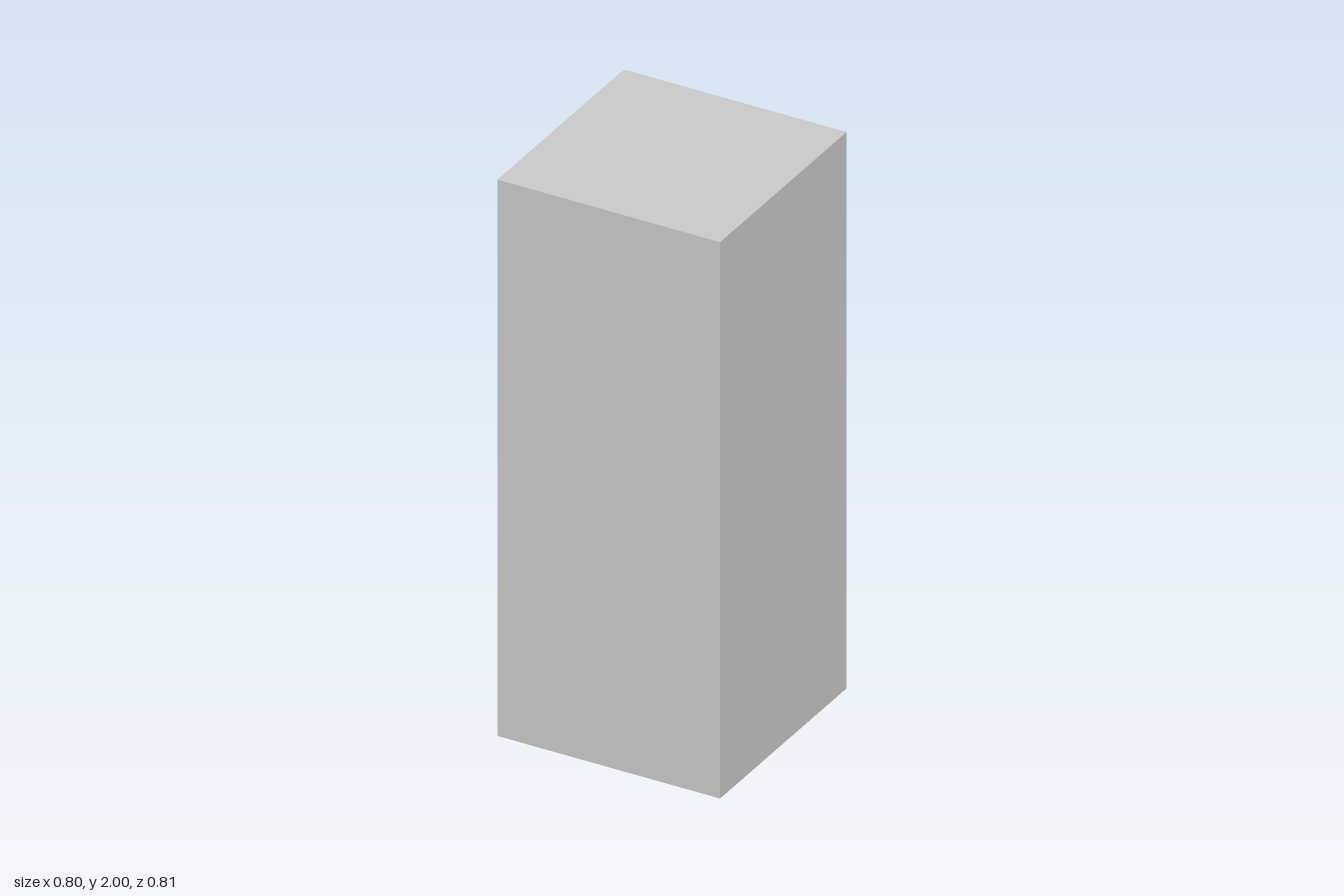
import * as THREE from 'three';

export function createModel() {
  const group = new THREE.Group();
  group.name = 'locker';
  const material = new THREE.MeshStandardMaterial({ color: 0xcccccc, flatShading: true });

  const front = -0.3925;          // plane of the door frame
  const rear = 0.4075;            // plain wall opposite the door
  const door = front + 0.05;      // recessed door panel

  const add = (name, geometry) => {
    const mesh = new THREE.Mesh(geometry, material);
    mesh.name = name;
    group.add(mesh);
  };
  // Box given by its limits on each axis
  const box = (name, x0, x1, y0, y1, z0, z1) => add(name,
    new THREE.BoxGeometry(x1 - x0, y1 - y0, z1 - z0)
      .translate((x0 + x1) / 2, (y0 + y1) / 2, (z0 + z1) / 2));
  const rect = (T, x, y0, y1) => new T([
    new THREE.Vector2(-x, y0), new THREE.Vector2(x, y0),
    new THREE.Vector2(x, y1), new THREE.Vector2(-x, y1),
  ]);

  // Cabinet shell: a rectangular tube whose open end frames the door
  const shell = rect(THREE.Shape, 0.4, 0, 2);
  shell.holes.push(rect(THREE.Path, 0.32, 0.08, 1.92));
  add('cabinet', new THREE.ExtrudeGeometry(shell, { depth: rear - front, bevelEnabled: false })
    .translate(0, 0, front));

  // Door and the wall opposite it
  box('door', -0.32, 0.32, 0.08, 1.92, door, door + 0.03);
  box('rearWall', -0.32, 0.32, 0.08, 1.92, rear - 0.03, rear);

  // Four vent slats across the door
  for (let i = 0; i < 4; i++) {
    const y = 1.36 + i * 0.08;
    box('ventSlat', -0.32, 0.32, y, y + 0.04, door - 0.02, door);
  }

  // L-shaped handle: grip bar with a stem at its outer end
  const handle = new THREE.Shape([
    [-0.3, door], [-0.3, -0.4075], [-0.1, -0.4075],
    [-0.1, -0.3755], [-0.22, -0.3755], [-0.22, door],
  ].map(([x, z]) => new THREE.Vector2(x, -z)));
  add('handle', new THREE.ExtrudeGeometry(handle, { depth: 0.07, bevelEnabled: false })
    .rotateX(-Math.PI / 2).translate(0, 0.965, 0));

  return group;
}
